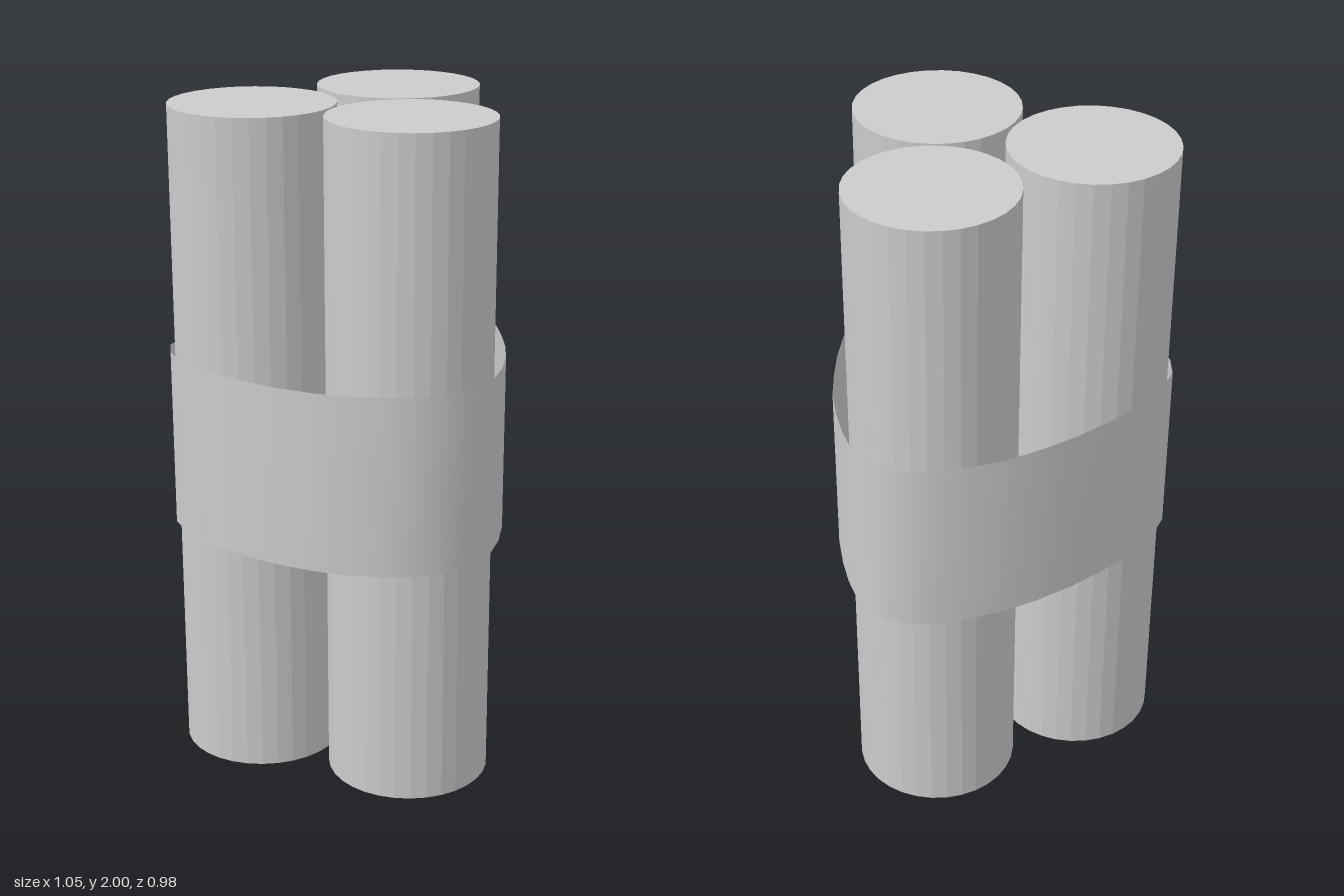
import * as THREE from 'three';
import { mergeVertices } from 'three/addons/utils/BufferGeometryUtils.js';

const HEIGHT = 2, RADIUS = 0.243;
const STICK_CENTRES = [[-0.264, -0.238], [0.236, -0.134], [-0.1, 0.229]];

// Outline of the band as [x, z], running from the front round by +x
const BAND_OUTLINE = [
  [-0.1, 0.487], [0, 0.465], [0.08, 0.425], [0.165, 0.366], [0.241, 0.299], [0.314, 0.223],
  [0.382, 0.144], [0.438, 0.056], [0.48, -0.023], [0.511, -0.099], [0.523, -0.169],
  [0.514, -0.225], [0.477, -0.287], [0.415, -0.343], [0.328, -0.391], [0.232, -0.431],
  [0.12, -0.46], [0, -0.48], [-0.15, -0.49], [-0.25, -0.487], [-0.35, -0.467],
  [-0.435, -0.431], [-0.483, -0.375], [-0.514, -0.296], [-0.528, -0.2], [-0.525, -0.1],
  [-0.511, 0], [-0.489, 0.093], [-0.455, 0.189], [-0.413, 0.273], [-0.356, 0.352],
  [-0.294, 0.417], [-0.224, 0.459], [-0.15, 0.484],
];

// Open tube whose rings are reshaped to follow the outline
function bandGeometry(bottom, top) {
  const n = BAND_OUTLINE.length;
  const tube = new THREE.CylinderGeometry(1, 1, top - bottom, n, 1, true);
  tube.translate(0, (top + bottom) / 2, 0);
  const pos = tube.attributes.position;
  for (let i = 0; i < pos.count; i++) {
    const [x, z] = BAND_OUTLINE[(i % (n + 1)) % n];
    pos.setX(i, x);
    pos.setZ(i, z);
  }
  // Weld the seam so the shading is smooth all round
  tube.deleteAttribute('uv');
  tube.deleteAttribute('normal');
  const welded = mergeVertices(tube);
  welded.computeVertexNormals();
  return welded;
}

export function createModel() {
  const model = new THREE.Group();
  model.name = 'bundle';

  // Three upright sticks
  const stickMaterial = new THREE.MeshStandardMaterial({ color: 0xcccccc, flatShading: true });
  const stickGeometry = new THREE.CylinderGeometry(RADIUS, RADIUS, HEIGHT, 32);
  STICK_CENTRES.forEach(([x, z], i) => {
    const stick = new THREE.Mesh(stickGeometry, stickMaterial);
    stick.name = `stick${i + 1}`;
    stick.position.set(x, HEIGHT / 2, z);
    model.add(stick);
  });

  // Thin band wrapped round the middle
  const band = new THREE.Mesh(
    bandGeometry(0.735, 1.273),
    new THREE.MeshStandardMaterial({ color: 0xcccccc, side: THREE.DoubleSide }),
  );
  band.name = 'band';
  model.add(band);

  return model;
}
